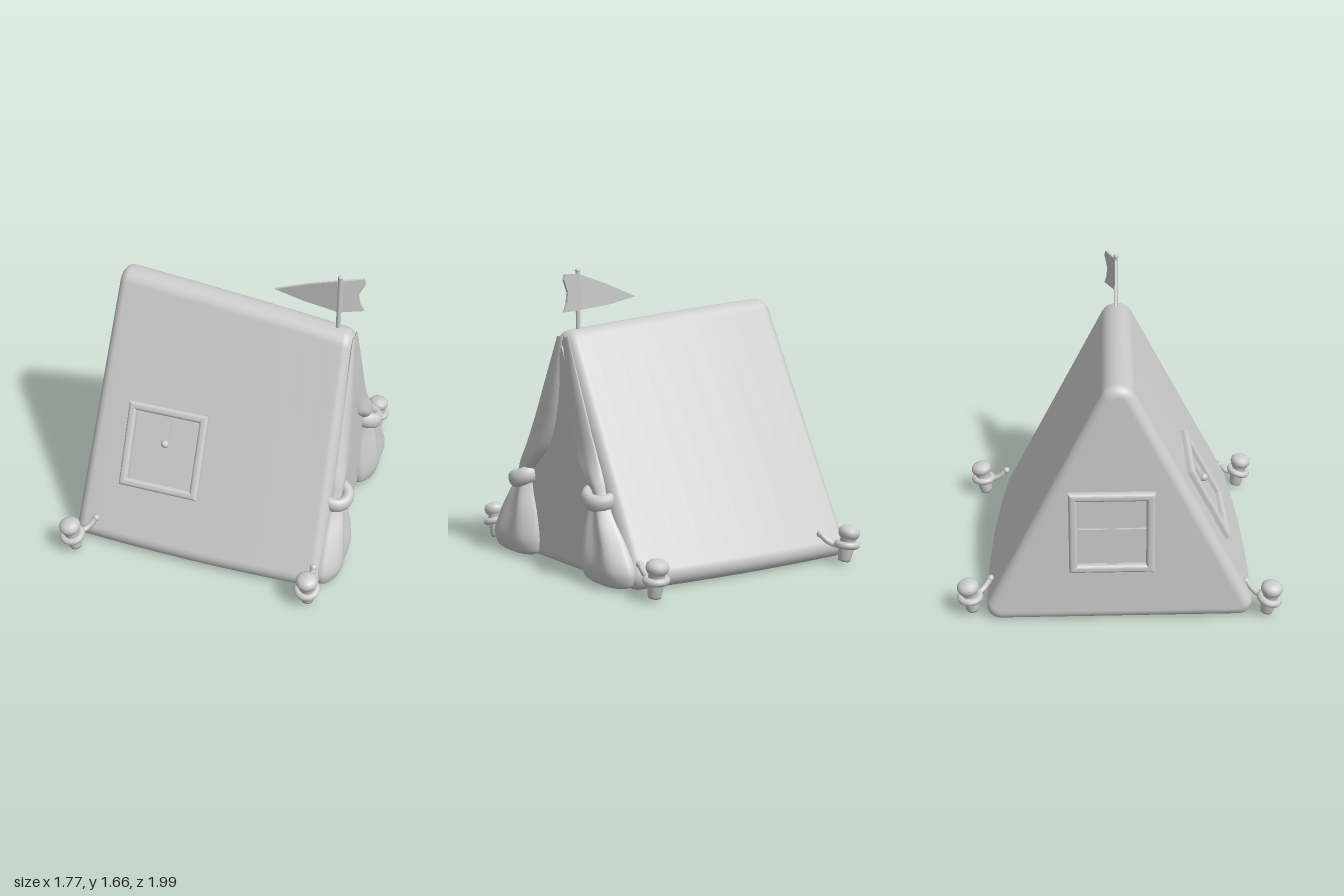
import * as THREE from 'three';

const V = (x, y, z) => new THREE.Vector3(x, y, z);
const canvas = new THREE.MeshStandardMaterial({ color: 0xcccccc });
canvas.name = 'light grey canvas';

function add(parent, name, geometry, x = 0, y = 0, z = 0) {
  const mesh = new THREE.Mesh(geometry, canvas);
  mesh.name = name;
  mesh.position.set(x, y, z);
  parent.add(mesh);
  return mesh;
}

// Skin a list of closed rings and cap both ends
function loft(rings) {
  const n = rings[0].length, m = rings.length, pos = [], idx = [];
  rings.forEach(r => r.forEach(p => pos.push(p.x, p.y, p.z)));
  for (const r of [rings[0], rings[m - 1]]) {
    const c = r.reduce((s, p) => s.add(p), V(0, 0, 0)).divideScalar(n);
    pos.push(c.x, c.y, c.z);
  }
  for (let j = 0; j < n; j++) {
    const k = (j + 1) % n;
    for (let i = 0; i < m - 1; i++) {
      const a = i * n + j, b = i * n + k, c = a + n, d = b + n;
      idx.push(a, c, b, b, c, d);
    }
    idx.push(m * n, j, k, m * n + 1, (m - 1) * n + k, (m - 1) * n + j);
  }
  const g = new THREE.BufferGeometry();
  g.setAttribute('position', new THREE.Float32BufferAttribute(pos, 3));
  g.setIndex(idx);
  g.computeVertexNormals();
  return g;
}

// Corner lines of the tent: front base, ridge, back base (closed end, door end)
const FRONT = [V(-0.83, 0, 0.67), V(0.63, 0, 0.885)];
const RIDGE = [V(-0.64, 1.56, -0.11), V(0.70, 1.44, 0.146)];
const BACK = [V(-0.57, 0, -0.89), V(0.81, 0, -0.58)];

// Rounded triangle across the tent at u, pulled in by e; the base bows out midway
function section(u, e) {
  const C = [FRONT, RIDGE, BACK].map(([p, q]) => p.clone().lerp(q, u));
  const [A, R, B] = C;
  const bow = Math.sin(Math.PI * u);
  A.z += 0.025 * bow;
  B.z -= 0.035 * bow;
  const len = C.map((_, i) => C[(i + 1) % 3].distanceTo(C[(i + 2) % 3]));
  const sum = len[0] + len[1] + len[2];
  const mid = V(0, 0, 0);
  C.forEach((c, i) => mid.addScaledVector(c, len[i] / sum));
  const normal = i => {
    const p = C[i], q = C[(i + 1) % 3];
    return Math.atan2(-(q.z - p.z), q.y - p.y);
  };
  const ring = [], steps = 8;
  C.forEach((c, i) => {
    const r = i === 1 ? 0.1 : 0.075;
    const o = c.clone().lerp(mid, r / mid.y);
    const a0 = normal((i + 2) % 3);
    const turn = (normal(i) - a0 + Math.PI * 4) % (Math.PI * 2);
    for (let s = 0; s <= steps; s++) {
      const a = a0 + turn * s / steps;
      const z = o.z + (r - e) * Math.cos(a), y = o.y + (r - e) * Math.sin(a);
      const w = y / R.y, wa = (z - w * R.z - (1 - w) * B.z) / (A.z - B.z);
      ring.push(V(w * R.x + wa * A.x + (1 - w - wa) * B.x, y, z));
    }
  });
  return ring;
}

function tentBody() {
  const stops = [];
  for (let i = 0; i <= 6; i++) {
    const t = i / 6 * Math.PI / 2;
    stops.push([0.04 * (1 - Math.cos(t)), 0.06 * (1 - Math.sin(t))]);
  }
  const far = stops.map(([u, e]) => [1 - u, e]).reverse();
  const inner = [];
  for (let u = 0.1; u < 0.95; u += 0.1) inner.push([u, 0]);
  return loft([...stops, ...inner, ...far].map(([u, e]) => section(u, e)));
}

// Group lying on a wall: x along a to b, y up towards c, z outwards
function onWall(a, b, c, p) {
  const x = b.clone().sub(a).normalize();
  const z = x.clone().cross(c.clone().sub(a)).normalize();
  const g = new THREE.Group();
  g.quaternion.setFromRotationMatrix(new THREE.Matrix4().makeBasis(x, z.clone().cross(x), z));
  g.position.copy(p);
  return g;
}

function rect(T, w, h) {
  return new T([[-w, -h], [w, -h], [w, h], [-w, h]].map(([x, y]) => new THREE.Vector2(x, y)));
}

function windowFrame(group) {
  const s = rect(THREE.Shape, 0.217, 0.229);
  s.holes.push(rect(THREE.Path, 0.207, 0.219));
  add(group, 'windowFrame', new THREE.ExtrudeGeometry(s, {
    depth: 0.025, bevelSize: 0.019, bevelThickness: 0.019, bevelSegments: 6
  }), 0, 0, -0.012);
}

// Gathered curtain rows: height, distance from door centre, half width, depth
const ROWS = [
  [1.29, 0.03, 0.025, 0.006], [1.0, 0.10, 0.085, 0.03], [0.8, 0.165, 0.11, 0.04],
  [0.65, 0.24, 0.11, 0.05], [0.55, 0.32, 0.08, 0.055], [0.47, 0.37, 0.06, 0.05],
  [0.38, 0.39, 0.09, 0.07], [0.25, 0.42, 0.16, 0.09], [0.1, 0.45, 0.215, 0.105],
  [0.03, 0.45, 0.20, 0.085], [0.008, 0.45, 0.15, 0.06]
];

// Side -1 hangs loose, side 1 lies flatter against the wall
function curtain(side) {
  const ys = new THREE.CatmullRomCurve3(ROWS.map(r => V(r[0], 0, 0)));
  const shape = new THREE.CatmullRomCurve3(ROWS.map(r => V(r[1], r[2], r[3])));
  const rings = [];
  for (let i = 0; i <= 44; i++) {
    const y = ys.getPoint(i / 44).x, s = shape.getPoint(i / 44), ring = [];
    const flat = side > 0 ? 1 - 0.4 * THREE.MathUtils.smoothstep(y, 0.5, 0.75) : 1;
    const fold = 0.05 + 0.15 * Math.exp(-(((y - 0.27) / 0.15) ** 2));
    for (let j = 0; j < 40; j++) {
      const a = j / 40 * Math.PI * 2, f = 1 + fold * Math.cos(5 * a + Math.PI / 2);
      ring.push(V(side * s.x - Math.cos(a) * s.y, y, Math.sin(a) * s.z * f * flat));
    }
    rings.push(ring);
  }
  return loft(rings);
}

function doorway() {
  const g = onWall(FRONT[1], BACK[1], RIDGE[1], V(0.72, 0, 0.146));
  g.name = 'doorway';
  const flap = new THREE.Shape([[0, 1.24], [-0.37, 0.46], [0.37, 0.46]].map(p => new THREE.Vector2(...p)));
  add(g, 'upperDoorPanel', new THREE.ExtrudeGeometry(flap, { depth: 0.02, bevelEnabled: false }), 0, 0, -0.01);
  for (const side of [-1, 1]) {
    add(g, 'curtain', curtain(side));
    const tie = add(g, 'curtainTie', new THREE.TorusGeometry(0.07, 0.036, 14, 32), side * 0.37, 0.465, 0.005);
    tie.rotation.set(Math.PI / 2 + 0.25, side * -0.3, 0);
    tie.scale.set(1, 1, 1.4);
  }
  return g;
}

// Ground peg with rope loop; head and anchor are [x, z]
function peg([hx, hz], [ax, az]) {
  const g = new THREE.Group();
  g.name = 'groundPeg';
  const inward = V(ax - hx, 0, az - hz).normalize().multiplyScalar(0.03);
  const base = V(hx, 0.01, hz).add(inward), head = V(hx, 0.19, hz);
  const post = new THREE.Group();
  post.position.copy(base);
  post.quaternion.setFromUnitVectors(V(0, 1, 0), head.clone().sub(base).normalize());
  g.add(post);
  const profile = [[0, 0.005], [0.034, 0.005], [0.038, 0.02], [0.046, 0.1], [0.042, 0.135], [0.055, 0.148],
    [0.062, 0.168], [0.059, 0.187], [0.045, 0.202], [0.02, 0.21], [0, 0.211]];
  add(post, 'pegPost', new THREE.LatheGeometry(profile.map(p => new THREE.Vector2(...p)), 24));
  add(post, 'pegRopeLoop', new THREE.TorusGeometry(0.053, 0.021, 10, 24), 0, 0.1, 0).rotation.x = Math.PI / 2 + 0.12;
  const start = V(hx, 0.1, hz).addScaledVector(inward, 2.2), end = V(ax, 0.16, az);
  const sag = start.clone().lerp(end, 0.5).add(V(0, -0.012, 0));
  const rope = new THREE.CatmullRomCurve3([start, sag, end]);
  add(g, 'pegRope', new THREE.TubeGeometry(rope, 10, 0.017, 8));
  add(g, 'ropeKnot', new THREE.SphereGeometry(0.02, 12, 8), end.x, end.y, end.z);
  return g;
}

// Pennant panel following a bent line away from the pole
function pennant(points, slope) {
  const s = new THREE.Shape(points.map(p => new THREE.Vector2(...p)));
  const g = new THREE.ExtrudeGeometry(s, { depth: 0.014, bevelEnabled: false });
  const p = g.attributes.position;
  for (let i = 0; i < p.count; i++) p.setZ(i, p.getZ(i) - 0.007 + slope * p.getX(i));
  g.computeVertexNormals();
  return g;
}

export function createModel() {
  const tent = new THREE.Group();
  tent.name = 'tent';
  add(tent, 'tentBody', tentBody());
  tent.add(doorway());

  // Slope window with a short strap and toggle
  const side = onWall(FRONT[0], FRONT[1], RIDGE[0], V(-0.312, 0.592, 0.457));
  side.name = 'slopeWindow';
  windowFrame(side);
  add(side, 'windowStrap', new THREE.BoxGeometry(0.035, 0.17, 0.014), 0.005, 0.125, 0.004);
  add(side, 'windowToggle', new THREE.SphereGeometry(0.023, 16, 12), 0.005, 0.04, 0.018);
  tent.add(side);

  // Gable window with a cross bar
  const gable = onWall(BACK[0], FRONT[0], RIDGE[0], V(-0.673, 0.575, -0.15));
  gable.name = 'gableWindow';
  windowFrame(gable);
  add(gable, 'windowUpright', new THREE.BoxGeometry(0.05, 0.44, 0.03));
  add(gable, 'windowCrossbar', new THREE.BoxGeometry(0.42, 0.045, 0.026));
  tent.add(gable);

  tent.add(
    peg([-0.817, 0.735], [-0.69, 0.62]), peg([0.58, 0.935], [0.60, 0.80]),
    peg([-0.475, -0.935], [-0.385, -0.795]), peg([0.81, -0.71], [0.785, -0.55]));

  // Flag on the ridge
  const flag = new THREE.Group();
  flag.name = 'flag';
  flag.position.set(0.605, 0, 0.125);
  add(flag, 'flagPole', new THREE.CylinderGeometry(0.013, 0.013, 0.36, 14), 0, 1.47, 0);
  add(flag, 'poleTip', new THREE.SphereGeometry(0.014, 14, 10), 0, 1.647, 0);
  add(flag, 'pennantLong', pennant([[-0.36, 1.49], [-0.2, 1.455], [0, 1.43], [0, 1.63], [-0.17, 1.57]], 0.2));
  add(flag, 'pennantTail', pennant([[0, 1.43], [0.135, 1.43], [0.11, 1.48], [0.1, 1.535], [0.135, 1.605], [0.125, 1.635], [0, 1.63]], -0.27));
  tent.add(flag);
  return tent;
}
